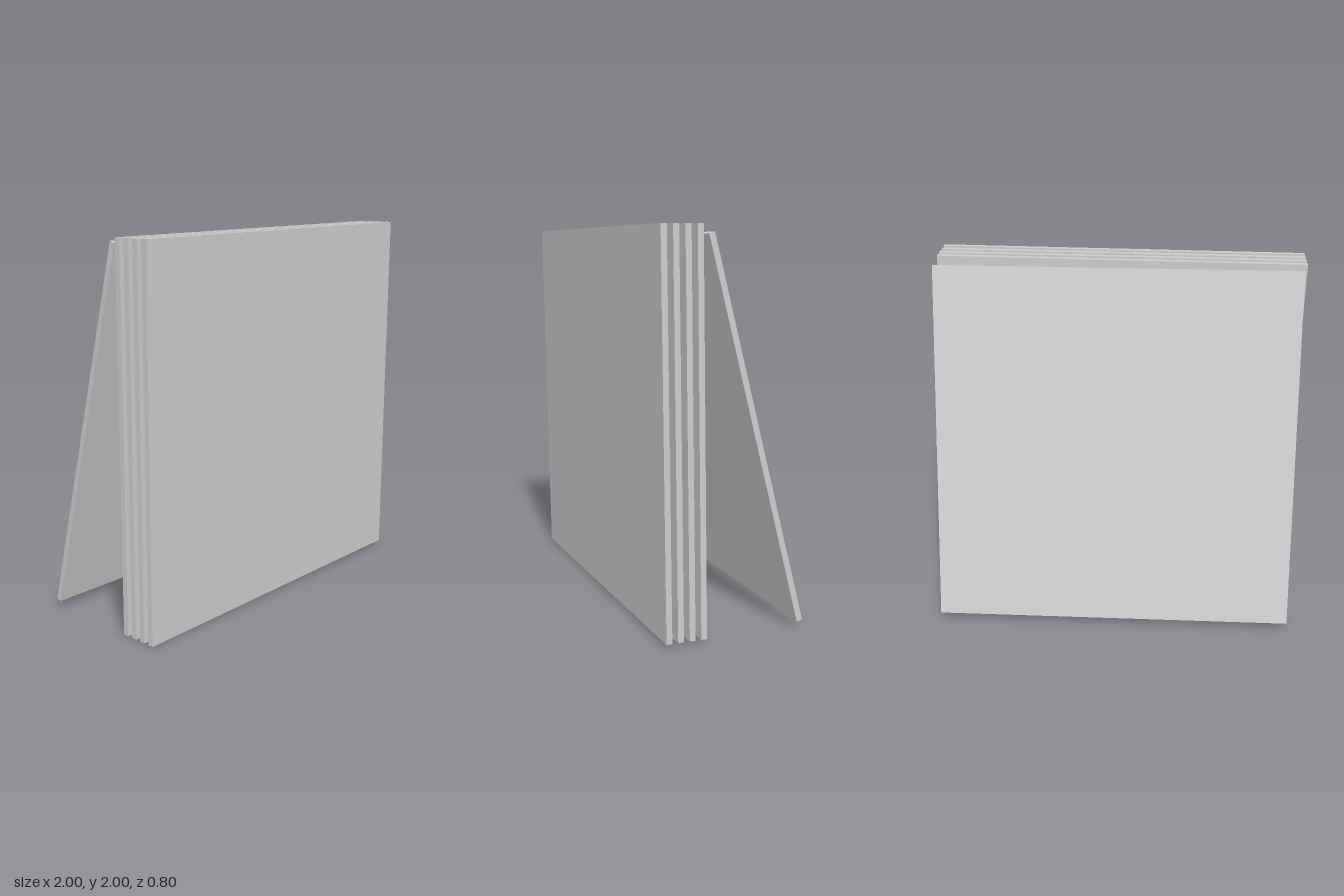
import * as THREE from 'three';

export function createModel() {
  const model = new THREE.Group();
  model.name = 'panelStack';
  const material = new THREE.MeshStandardMaterial({ color: 0xcccccc, flatShading: true });
  const sheet = new THREE.BoxGeometry(1.979, 1.979, 0.03);

  function addPanel(name, [x, y, z], [pitch, yaw, roll]) {
    const panel = new THREE.Mesh(sheet, material);
    panel.name = name;
    panel.position.set(x, y, z);
    panel.rotation.set(pitch, yaw, roll, 'YXZ');
    model.add(panel);
  }

  // Four upright panels, evenly spaced and slightly tilted
  for (let i = 0; i < 4; i++) {
    addPanel(`uprightPanel${i + 1}`, [0, 1, 0.349 - i * 0.06], [0.012, 0.02, 0.01]);
  }

  // Rear panel leaning against the stack
  addPanel('leaningPanel', [0.004, 1, -0.12], [0.254, 0.0165, 0]);

  return model;
}
